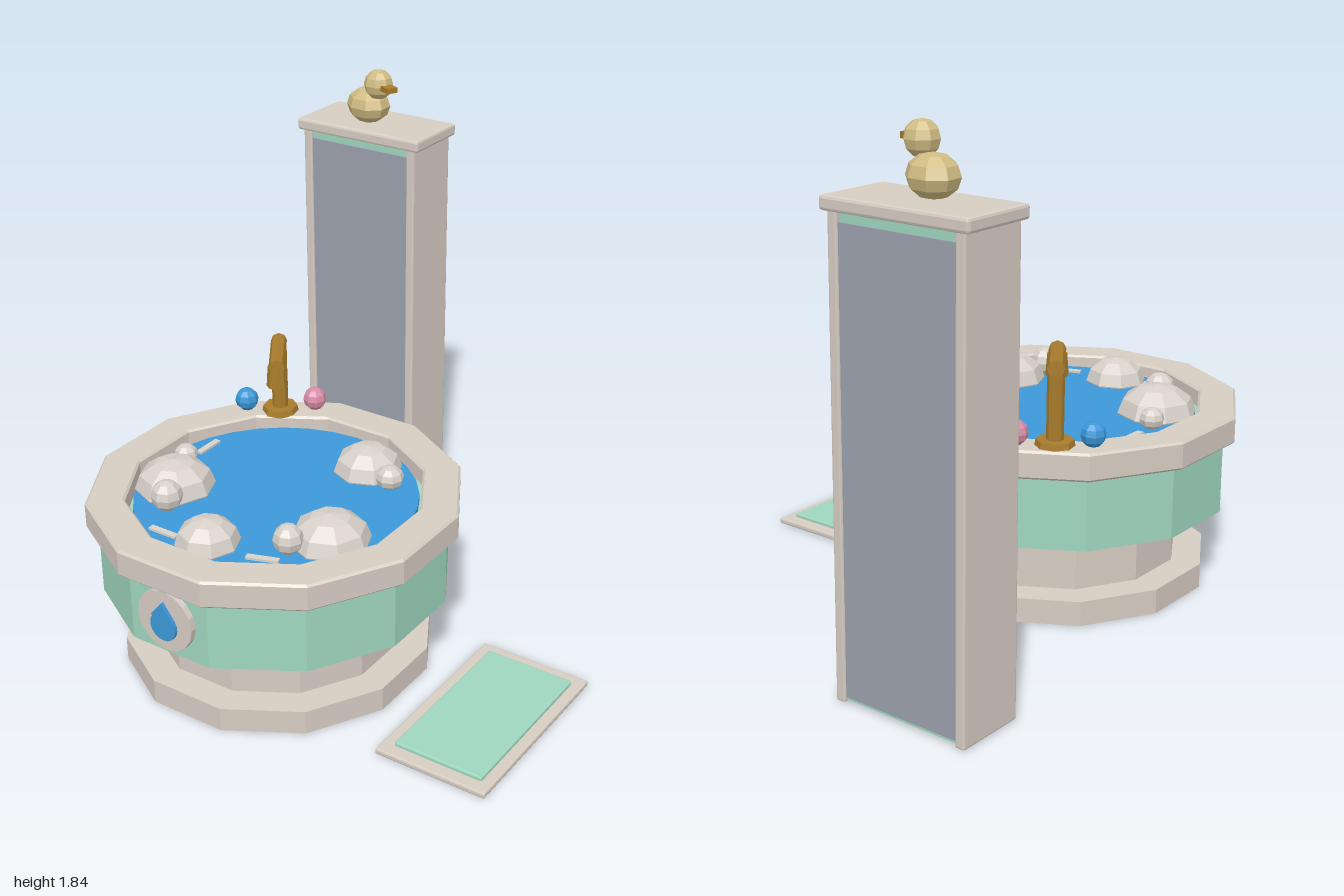
import * as THREE from 'three';
import { RoundedBoxGeometry } from 'three/addons/geometries/RoundedBoxGeometry.js';

const mat = (name, color) => {
  const m = new THREE.MeshStandardMaterial({ color, flatShading: true });
  m.name = name;
  return m;
};

export function createModel() {
  const cream = mat('cream stone', 0xd6ccc2);
  const foam = mat('foam', 0xd8d1ca);
  const mint = mat('mint', 0x9fd6be);
  const water = mat('water blue', 0x3c98d8);
  const gold = mat('brass', 0xa87c2c);
  const yellow = mat('duck yellow', 0xd0bb82);
  const pink = mat('pink', 0xd88ca8);
  const glass = mat('grey glass', 0x9ba0ac);

  const root = new THREE.Group();
  const group = (name, parent = root) => {
    const g = new THREE.Group();
    g.name = name;
    parent.add(g);
    return g;
  };
  const add = (parent, name, geo, material, x = 0, y = 0, z = 0) => {
    const m = new THREE.Mesh(geo, material);
    m.name = name;
    m.position.set(x, y, z);
    parent.add(m);
    return m;
  };
  const ball = (parent, name, r, material, x, y, z, ry = r) => {
    const m = add(parent, name, new THREE.SphereGeometry(r, 8, 6), material, x, y, z);
    m.scale.y = ry / r;
    return m;
  };

  // Twelve-sided tub; sizes are given across the flats
  const tub = group('bathtub');
  tub.position.set(-0.22, 0, 0.345);
  const turn = Math.PI / 12;
  const corner = 1 / Math.cos(turn);
  const drum = (name, a, y0, y1, material) => add(tub, name,
    new THREE.CylinderGeometry(a * corner, a * corner, y1 - y0, 12, 1, false, turn),
    material, 0, (y0 + y1) / 2, 0);
  drum('basePlinth', 0.547, 0, 0.09, cream);
  drum('pedestal', 0.442, 0.09, 0.27, cream);
  drum('brassBand', 0.477, 0.27, 0.31, gold);
  drum('tubBody', 0.61, 0.305, 0.6, mint);
  const b = 0.008;
  const rimProfile = [
    [0.515, 0.567], [0.65 - b, 0.567], [0.65, 0.567 + b], [0.65, 0.668 - b],
    [0.65 - b, 0.668], [0.515 + b, 0.668], [0.515, 0.668 - b], [0.515, 0.567],
  ].map(([r, y]) => new THREE.Vector2(r * corner, y));
  add(tub, 'rim', new THREE.LatheGeometry(rimProfile, 12, turn), cream);
  add(tub, 'waterSurface', new THREE.CylinderGeometry(0.508, 0.508, 0.03, 32), water, 0, 0.61, 0);

  // Medallion with a raised drop on the front face
  add(tub, 'medallion', new THREE.CylinderGeometry(0.115, 0.115, 0.025, 16), cream, 0, 0.445, 0.62)
    .rotation.x = Math.PI / 2;
  const dropShape = new THREE.Shape();
  dropShape.moveTo(0, 0.075);
  dropShape.lineTo(-0.048, 0.018);
  dropShape.absarc(0, -0.018, 0.054, Math.PI * 0.8, Math.PI * 2.2, false);
  dropShape.lineTo(0, 0.075);
  add(tub, 'drop', new THREE.ExtrudeGeometry(dropShape, { depth: 0.012, bevelEnabled: false, curveSegments: 6 }),
    water, 0, 0.445, 0.632);

  // Foam mounds: x, z, radius, centre height, vertical radius
  const bubbles = group('foamBubbles');
  [
    [-0.05, 0.016, 0.127, 0.63, 0.095], [0.087, 0.08, 0.052, 0.665, 0.045],
    [-0.558, 0.497, 0.145, 0.63, 0.105], [-0.637, 0.339, 0.045, 0.66, 0.04],
    [-0.484, 0.63, 0.058, 0.675, 0.057], [-0.22, 0.735, 0.114, 0.63, 0.09],
    [0.12, 0.497, 0.143, 0.63, 0.103], [0.045, 0.635, 0.054, 0.678, 0.055],
  ].forEach(([x, z, r, y, ry]) => ball(bubbles, 'foamBubble', r, foam, x, y, z, ry));

  // Thin ripples on the water: x, z, turn
  [[-0.64, 0.207, Math.PI / 2], [-0.384, 0.77, 0], [0, 0.72, 0.33]].forEach(([x, z, a]) => {
    add(root, 'ripple', new THREE.BoxGeometry(0.115, 0.009, 0.025), foam, x, 0.629, z).rotation.y = a;
  });

  // Tap, built along its own +z and turned toward the water
  const tap = group('tap');
  tap.position.set(-0.55, 0, -0.126);
  tap.rotation.y = Math.atan2(0.1, 0.146);
  add(tap, 'tapBase', new THREE.CylinderGeometry(0.065, 0.07, 0.025, 8), gold, 0, 0.677, 0);
  add(tap, 'tapPost', new THREE.CylinderGeometry(0.03, 0.03, 0.28, 8), gold, 0, 0.81, 0);
  add(tap, 'tapArm', new THREE.CylinderGeometry(0.03, 0.03, 0.245, 8), gold, 0, 0.945, 0.085)
    .rotation.x = Math.PI / 2;
  add(tap, 'tapSpout', new THREE.CylinderGeometry(0.034, 0.04, 0.08, 8), gold, 0, 0.9, 0.178);
  ball(root, 'coldKnob', 0.045, water, -0.66, 0.712, -0.06);
  ball(root, 'hotKnob', 0.045, pink, -0.445, 0.712, -0.207);

  // Tall cabinet with glass on both broad faces
  const cabinet = group('cabinet');
  cabinet.position.set(-0.592, 0, -0.857);
  add(cabinet, 'core', new THREE.BoxGeometry(0.46, 1.565, 0.23), mint, 0, 0.793, 0);
  for (const s of [-1, 1]) {
    add(cabinet, 'sideWall', new RoundedBoxGeometry(0.036, 1.575, 0.258, 1, 0.006), cream, s * 0.24, 0.792, 0);
    add(cabinet, 'glassPanel', new THREE.BoxGeometry(0.45, 1.52, 0.008), glass, 0, 0.782, s * 0.117);
  }
  add(cabinet, 'cap', new RoundedBoxGeometry(0.56, 0.047, 0.284, 1, 0.01), cream, 0, 1.597, 0);

  // Toy duck on the cabinet, beak along its own +x
  const duck = group('toyDuck');
  duck.position.set(-0.615, 1.62, -0.838);
  duck.rotation.y = -0.42;
  ball(duck, 'duckBody', 0.095, yellow, 0, 0.067, 0, 0.069).scale.z = 0.86;
  ball(duck, 'duckHead', 0.058, yellow, 0.073, 0.165, 0);
  add(duck, 'beak', new THREE.BoxGeometry(0.055, 0.02, 0.045), gold, 0.145, 0.163, 0);

  // Bath mat
  const mat3 = group('bathMat');
  add(mat3, 'matBorder', new RoundedBoxGeometry(0.426, 0.022, 0.735, 1, 0.006), cream, 0.65, 0.011, 0.338);
  add(mat3, 'matCentre', new RoundedBoxGeometry(0.34, 0.024, 0.636, 1, 0.006), mint, 0.653, 0.024, 0.338);

  return root;
}
